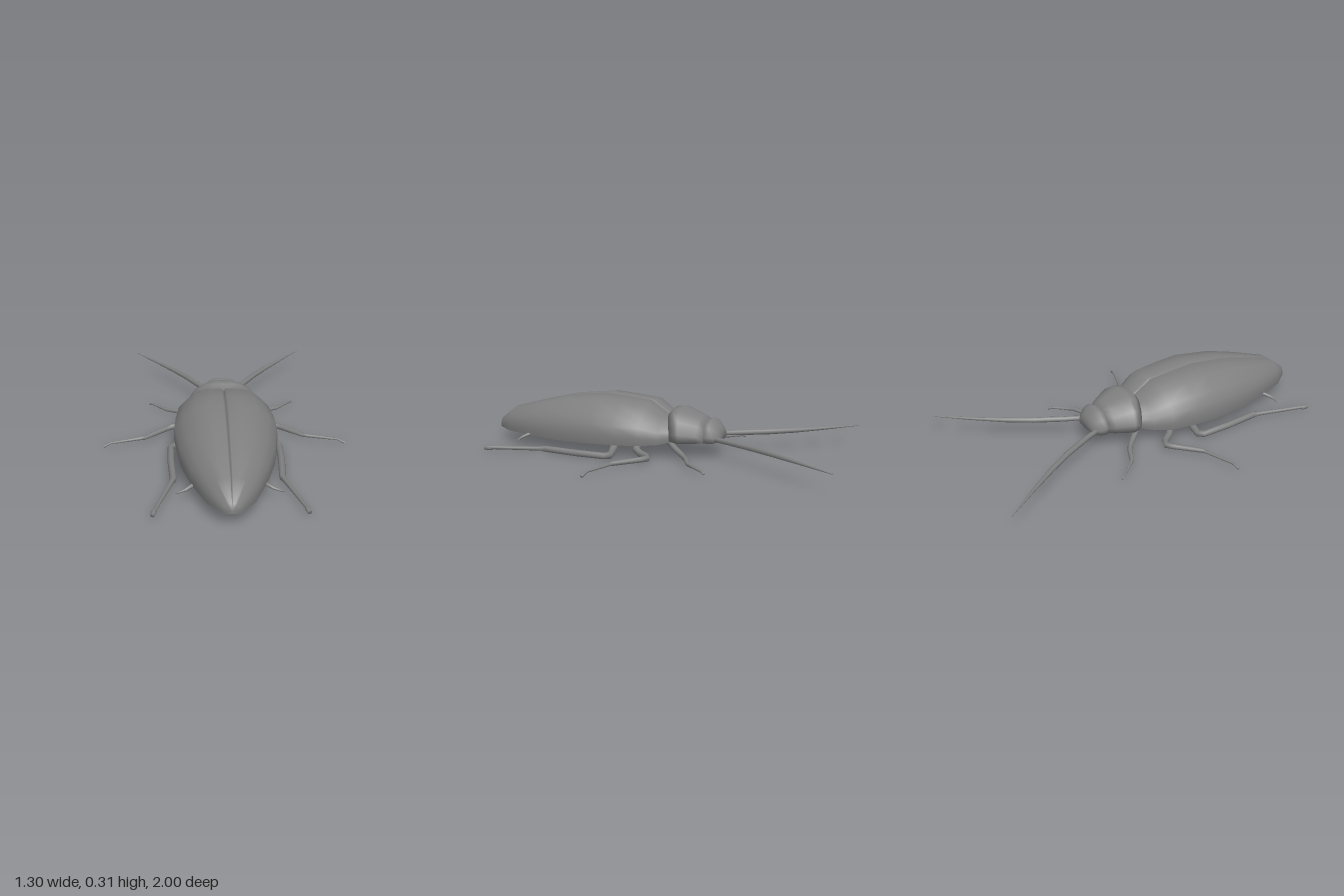
import * as THREE from 'three';

const material = new THREE.MeshStandardMaterial({ color: 0x7f7f7f, side: THREE.DoubleSide });

// Skin a list of equal-length rings; closed rings get softly shaded end caps.
function loft(name, rings, closed = true) {
  const n = rings[0].length, pos = [], idx = [];
  rings.forEach(r => r.forEach(p => pos.push(p.x, p.y, p.z)));
  for (let i = 0; i < rings.length - 1; i++) {
    for (let j = 0; j < (closed ? n : n - 1); j++) {
      const a = i * n + j, b = i * n + (j + 1) % n;
      idx.push(a, a + n, b, b, a + n, b + n);
    }
  }
  if (closed) {
    for (const i of [0, rings.length - 1]) {
      const centre = pos.length / 3;
      const mid = rings[i].reduce((s, p) => s.add(p), new THREE.Vector3()).divideScalar(n);
      pos.push(mid.x, mid.y, mid.z);
      for (let j = 0; j < n; j++) {
        const a = i * n + j, b = i * n + (j + 1) % n;
        idx.push(centre, ...(i ? [b, a] : [a, b]));
      }
    }
  }
  const g = new THREE.BufferGeometry();
  g.setAttribute('position', new THREE.Float32BufferAttribute(pos, 3));
  g.setIndex(idx);
  g.computeVertexNormals();
  const mesh = new THREE.Mesh(g, material);
  mesh.name = name;
  return mesh;
}

// Scale a half profile (x: 0..1, y: 0..1) to each station [z, halfWidth, bottom, top, bow].
const halfRings = (profile, stations) => stations.map(([z, w, lo, hi, bow = 0]) =>
  profile.map(([px, py]) => new THREE.Vector3(px * w, lo + py * (hi - lo), z - bow * (px * w) ** 2)));

// Complete half rings with their mirror image.
const fullRings = (profile, stations) => halfRings(profile, stations).map(r =>
  [...r, ...r.slice(1, -1).reverse().map(p => new THREE.Vector3(-p.x, p.y, p.z))]);

// Jointed, tapering limb through points [x, y, z, radius].
function limb(name, points, sides = 8) {
  const pts = points.map(p => new THREE.Vector3(p[0], p[1], p[2]));
  const rings = pts.map((p, i) => {
    const before = i ? p.clone().sub(pts[i - 1]).normalize() : new THREE.Vector3();
    const after = i < pts.length - 1 ? pts[i + 1].clone().sub(p).normalize() : new THREE.Vector3();
    const t = before.add(after).normalize();
    const u = new THREE.Vector3(0, 1, 0).cross(t).normalize();
    const v = t.clone().cross(u);
    return Array.from({ length: sides }, (_, k) => {
      const a = k / sides * Math.PI * 2, r = points[i][3];
      return p.clone().addScaledVector(u, r * Math.cos(a)).addScaledVector(v, -r * Math.sin(a));
    });
  });
  return loft(name, rings);
}

const bodyStations = [
  [-0.10, 0.15, 0.09, 0.20], [-0.03, 0.20, 0.075, 0.225], [0.06, 0.25, 0.07, 0.287],
  [0.20, 0.265, 0.065, 0.302], [0.33, 0.267, 0.063, 0.313], [0.55, 0.237, 0.06, 0.29],
  [0.72, 0.187, 0.062, 0.25], [0.90, 0.115, 0.065, 0.20],
];
const wingStations = [...bodyStations, [0.998, 0.04, 0.072, 0.127], [1.0, 0, 0.075, 0.085]];
const bellyStations = [...bodyStations, [0.985, 0.046, 0.074, 0.13]];
const wingProfile = [[0, 0.92], [0.045, 1], [0.3, 0.98], [0.57, 0.94], [0.82, 0.69],
  [0.97, 0.5], [1, 0.25], [0.97, 0.06]];
const bellyProfile = [[0, 0.9], [0.55, 0.88], [0.92, 0.5], [0.97, 0.06], [0.4, 0.02], [0, -0.02]];
const shieldProfile = [[0, 1], [0.25, 0.99], [0.5, 0.93], [0.8, 0.7], [1, 0.35], [0.93, 0.08], [0.4, 0], [0, 0]];

// Limbs of the left (+x) side.
const limbs = {
  Antenna: [[0.075, 0.113, -0.30, 0.013], [0.12, 0.113, -0.40, 0.015], [0.20, 0.112, -0.55, 0.015],
    [0.285, 0.111, -0.68, 0.013], [0.40, 0.111, -0.835, 0.008], [0.53, 0.112, -1.0, 0.002]],
  FrontLeg: [[0.09, 0.085, -0.06, 0.016], [0.14, 0.056, -0.12, 0.016], [0.19, 0.038, -0.175, 0.014],
    [0.235, 0.034, -0.205, 0.013], [0.32, 0.033, -0.245, 0.011], [0.37, 0.03, -0.30, 0.007],
    [0.41, 0.028, -0.345, 0.006], [0.42, 0.02, -0.36, 0.006]],
  MiddleLeg: [[0.11, 0.075, 0.10, 0.02], [0.16, 0.04, 0.10, 0.02], [0.21, 0.035, 0.055, 0.019],
    [0.245, 0.034, 0.01, 0.018], [0.285, 0.033, -0.01, 0.017], [0.32, 0.032, 0.02, 0.015],
    [0.43, 0.031, 0.123, 0.012], [0.45, 0.031, 0.132, 0.009], [0.61, 0.031, 0.183, 0.006],
    [0.645, 0.016, 0.195, 0.008]],
  HindLeg: [[0.12, 0.07, 0.24, 0.023], [0.155, 0.034, 0.235, 0.022], [0.20, 0.026, 0.225, 0.02],
    [0.265, 0.025, 0.21, 0.019], [0.286, 0.025, 0.235, 0.018], [0.282, 0.026, 0.40, 0.018],
    [0.268, 0.029, 0.59, 0.017], [0.275, 0.03, 0.62, 0.012], [0.345, 0.03, 0.87, 0.009],
    [0.35, 0.028, 0.885, 0.013], [0.355, 0.028, 0.918, 0.011]],
  TailFeeler: [[0.14, 0.082, 0.71, 0.010], [0.18, 0.076, 0.745, 0.010], [0.205, 0.068, 0.763, 0.008],
    [0.235, 0.06, 0.772, 0.005], [0.258, 0.054, 0.768, 0.002]],
};

export function createModel() {
  const model = new THREE.Group();
  model.name = 'cockroach';

  // Abdomen and the shield behind the head
  model.add(loft('abdomen', fullRings(bellyProfile, bellyStations)));
  model.add(loft('neckShield', fullRings(shieldProfile, [
    [-0.26, 0.112, 0.085, 0.20], [-0.225, 0.135, 0.082, 0.22, 0.2], [-0.165, 0.17, 0.082, 0.243, 0.3],
    [-0.11, 0.19, 0.083, 0.26, 0.9], [-0.07, 0.188, 0.085, 0.258, 1.6], [-0.043, 0.17, 0.09, 0.225, 1.6],
  ])));

  // Head
  model.add(loft('head', fullRings(shieldProfile, [
    [-0.342, 0.065, 0.10, 0.15], [-0.33, 0.085, 0.09, 0.168], [-0.31, 0.11, 0.085, 0.195],
    [-0.285, 0.12, 0.083, 0.21], [-0.26, 0.112, 0.083, 0.202], [-0.24, 0.10, 0.085, 0.19],
  ])));

  // Wing cases and limbs, mirrored to both sides
  for (const [side, sign] of [['left', 1], ['right', -1]]) {
    const half = new THREE.Group();
    half.name = side + 'Side';
    half.scale.x = sign;
    half.add(loft(side + 'WingCase', halfRings(wingProfile, wingStations), false));
    for (const [part, points] of Object.entries(limbs)) half.add(limb(side + part, points));
    model.add(half);
  }
  return model;
}
